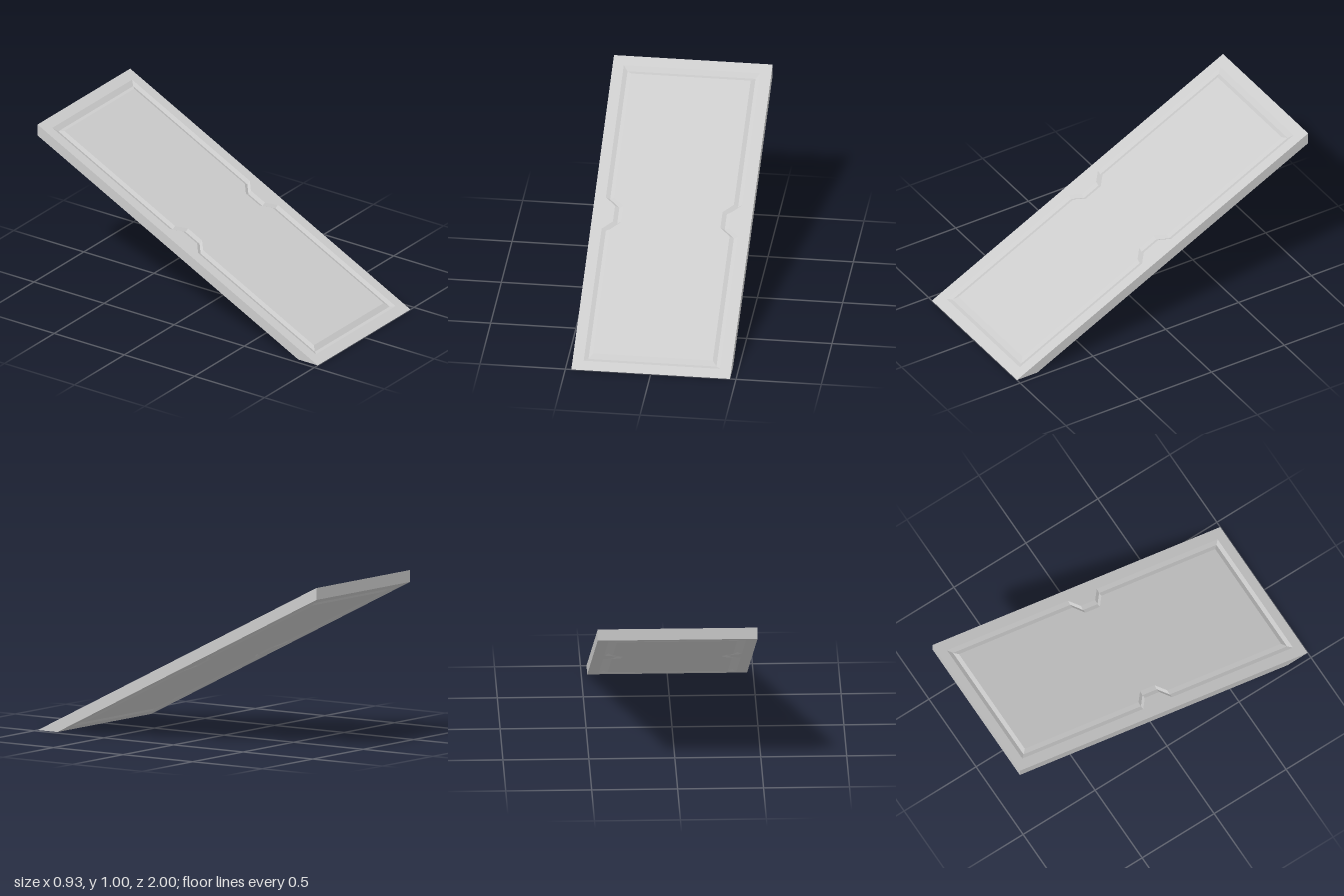
import * as THREE from 'three';

const SLOPE = -0.5, HALF_W = 0.465, BORDER = 0.06, GROOVE = 0.025, DEPTH = 0.0125;
const material = new THREE.MeshStandardMaterial({ color: 0xcccccc, flatShading: true });

// Point on a sloped plane whose height at z = 0 is h
const onPlane = (x, z, h) => new THREE.Vector3(x, h + SLOPE * z, z);

// Rectangular rim, counter-clockwise seen from above
function rimLoop(zBack, zFront, h) {
  return [[1, zFront], [1, zBack], [-1, zBack], [-1, zFront]].map(([s, z]) => onPlane(s * HALF_W, z, h));
}

// Panel outline with a notch halfway along each side, inset from the border
function panelLoop(zBack, zFront, h, inset) {
  const mid = (zBack + zFront) / 2, w = 0.4 - inset, notch = w - 0.06;
  const right = [
    [w, zFront - BORDER - inset], [w, mid + 0.1], [notch, mid + 0.05],
    [notch, mid - 0.05], [w, mid - 0.1], [w, zBack + BORDER + inset],
  ];
  const left = right.map(([x, z]) => [-x, z]).reverse();
  return [...right, ...left].map(([x, z]) => onPlane(x, z, h));
}

// Triangles between two loops of equal length
function band(a, b) {
  return a.flatMap((p, i) => {
    const j = (i + 1) % a.length;
    return [p, a[j], b[j], p, b[j], b[i]];
  });
}

// Triangles filling a loop, with an optional hole
function fill(loop, hole = []) {
  const flat = (pts) => pts.map((p) => new THREE.Vector2(p.x, -p.z));
  const inner = [...hole].reverse();
  const all = [...loop, ...inner];
  const faces = THREE.ShapeUtils.triangulateShape(flat(loop), inner.length ? [flat(inner)] : []);
  return faces.flatMap((f) => f.map((i) => all[i]));
}

function addMesh(group, name, points, flip) {
  const pts = flip ? [...points].reverse() : points;
  const geometry = new THREE.BufferGeometry().setFromPoints(pts);
  geometry.computeVertexNormals();
  const mesh = new THREE.Mesh(geometry, material);
  mesh.name = name;
  group.add(mesh);
}

// One broad face: border, V-shaped groove and centre panel
function makeFace(name, zBack, zFront, h, flip) {
  const group = new THREE.Group();
  group.name = name;
  const grooveH = h + (flip ? DEPTH : -DEPTH);
  const outer = panelLoop(zBack, zFront, h, 0);
  const floor = panelLoop(zBack, zFront, grooveH, GROOVE);
  const inner = panelLoop(zBack, zFront, h, 2 * GROOVE);
  addMesh(group, 'border', fill(rimLoop(zBack, zFront, h), outer), flip);
  addMesh(group, 'groove', [...band(outer, floor), ...band(floor, inner)], flip);
  addMesh(group, 'panel', fill(inner), flip);
  return group;
}

export function createModel() {
  const model = new THREE.Group();
  model.name = 'ramp';
  const top = { back: -1, front: 1, h: 0.5 };
  const under = { back: -1, front: 0.86, h: 0.43 };
  model.add(makeFace('topFace', top.back, top.front, top.h, false));
  model.add(makeFace('underside', under.back, under.front, under.h, true));
  // Side walls, back end and the flat foot resting on the ground
  addMesh(model, 'edges', band(
    rimLoop(under.back, under.front, under.h),
    rimLoop(top.back, top.front, top.h),
  ), false);
  return model;
}
